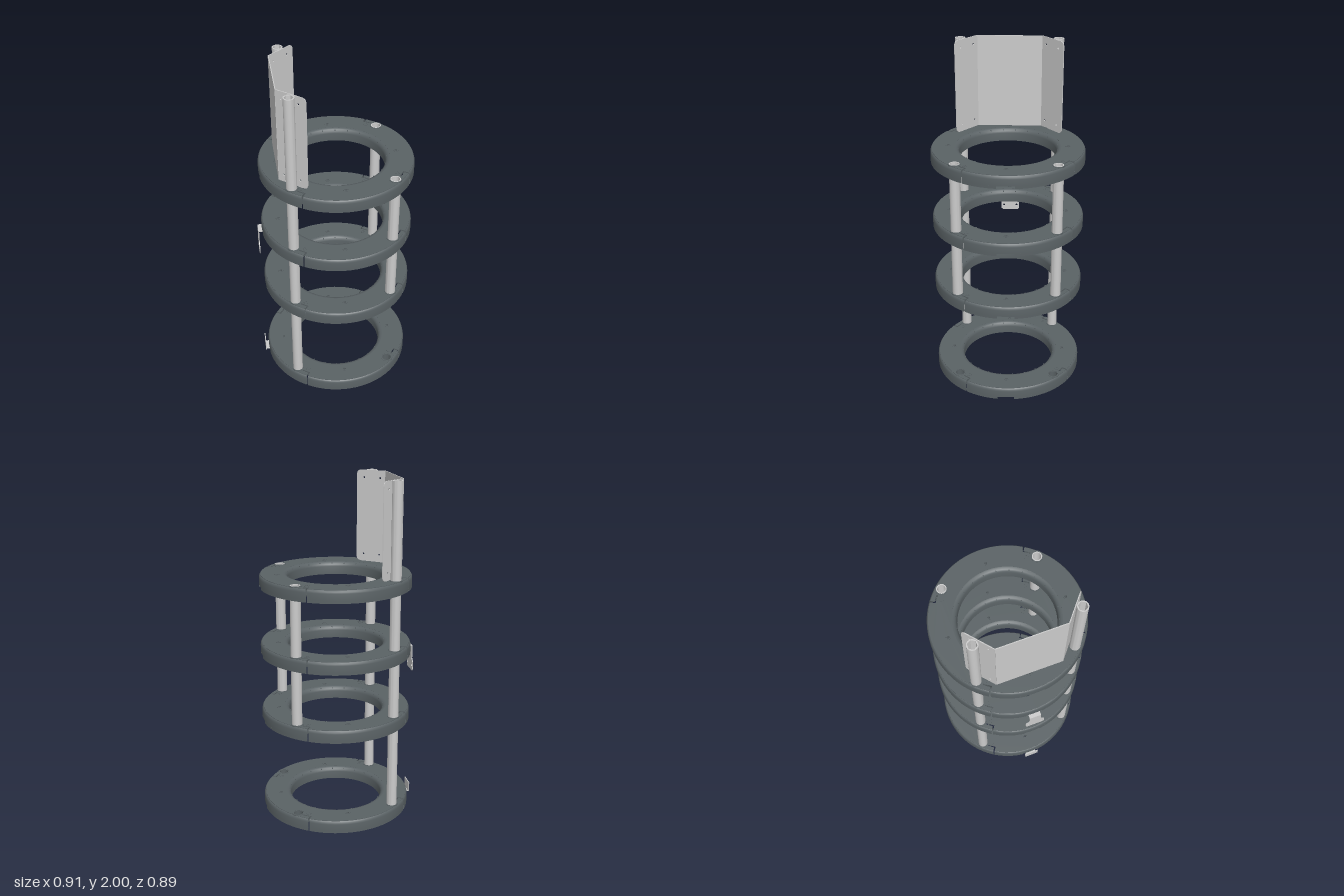
import * as THREE from 'three';
import { toCreasedNormals } from 'three/addons/utils/BufferGeometryUtils.js';

const steel = new THREE.MeshStandardMaterial({ color: 0xcccccc, side: THREE.DoubleSide });
const plastic = new THREE.MeshStandardMaterial({ color: 0x5a6265, side: THREE.DoubleSide });
const CX = 0.0085;        // ring centre in x
const POST_R = 0.401;     // radius of the post circle
const rad = THREE.MathUtils.degToRad;
const polar = (r, deg) => new THREE.Vector2(r * Math.cos(rad(deg)), r * Math.sin(rad(deg)));
const quarters = [0, 90, 180, 270];

function add(parent, name, geometry, material) {
  const mesh = new THREE.Mesh(geometry, material);
  mesh.name = name;
  parent.add(mesh);
  return mesh;
}

// Points along an arc, in degrees
function arc(r, from, to, step = 5) {
  const n = Math.max(1, Math.round(Math.abs(to - from) / step));
  return Array.from({ length: n + 1 }, (_, i) => polar(r, from + (to - from) * i / n));
}

function ngon(r, sides, c = new THREE.Vector2()) {
  return Array.from({ length: sides }, (_, i) => polar(r, 360 * i / sides).add(c));
}

// Upright prism from a plan outline, standing on y
function prism(outline, holes, y, height) {
  const shape = new THREE.Shape(outline);
  holes.forEach(h => shape.holes.push(new THREE.Path(h)));
  const g = new THREE.ExtrudeGeometry(shape, { depth: height, bevelEnabled: false });
  return toCreasedNormals(g.rotateX(-Math.PI / 2).translate(0, y, 0), 0.6);
}

// Revolved wall between two plan angles
function sweep(profile, from, to) {
  const pts = profile.map(p => new THREE.Vector2(...p));
  const n = Math.max(2, Math.round((to - from) / 5));
  return toCreasedNormals(new THREE.LatheGeometry(pts, n, rad(from + 90), rad(to - from)), 0.6);
}

const OUTER = [[0.435, 0.015], [0.443, 0.015], [0.443, 0.055], [0.441, 0.064], [0.437, 0.071],
  [0.43, 0.075], [0.43, 0.067], [0.435, 0.058], [0.435, 0.015]];
const SKIRT = [[0.435, 0], [0.443, 0], [0.443, 0.015], [0.435, 0.015], [0.435, 0]];
const INNER = [[0.286, 0], [0.278, 0], [0.278, 0.048], [0.281, 0.06], [0.288, 0.069], [0.297, 0.0735],
  [0.306, 0.075], [0.306, 0.067], [0.292, 0.062], [0.286, 0.05], [0.286, 0]];
const MIDDLE = [[0.358, 0.02], [0.363, 0.02], [0.363, 0.07], [0.358, 0.07], [0.358, 0.02]];

function buildRing(y) {
  const ring = new THREE.Group();
  ring.name = 'ring';
  ring.position.set(CX, y, 0);

  // Top plate with hooked slots, post holes and bolt holes
  const outline = [], holes = [];
  for (const q of quarters) {
    const s = 57.3 + q, w = 0.6;
    outline.push(...arc(0.434, s - 90 + w, s - w), ...arc(0.411, s - w, s - 6.4, 3),
      ...arc(0.403, s - 6.4, s + w, 3));
    holes.push(ngon(0.026, 24, polar(POST_R, 45 + q)), ngon(0.008, 12, polar(0.343, q)));
  }
  holes.push(arc(0.304, 0, 355));
  add(ring, 'topPlate', prism(outline, holes, 0.066, 0.009), plastic);

  // Rims
  add(ring, 'innerRim', sweep(INNER, 0, 360), plastic);
  add(ring, 'middleWall', sweep(MIDDLE, 0, 360), plastic);
  for (const q of quarters) {
    const from = 57.9 + q, to = 146.7 + q;
    add(ring, 'outerRim', sweep(OUTER, from, to), plastic);
    // the lower edge leaves a notch at each side of the ring
    const side = q === 0 ? 180 : q === 180 ? 360 : null;
    if (side !== null) {
      const cuts = [[from, Math.min(to, side - 6.5)], [side + 6.5, to]];
      cuts.filter(([a, b]) => b > a).forEach(([a, b]) => add(ring, 'outerSkirt', sweep(SKIRT, a, b), plastic));
    } else {
      const mid = q === 90 ? 180 : 360;
      add(ring, 'outerSkirt', sweep(SKIRT, from, mid - 6.5), plastic);
      add(ring, 'outerSkirt', sweep(SKIRT, mid + 6.5, to), plastic);
    }
  }

  // Stiffening ribs underneath
  for (let i = 0; i < 24; i++) {
    const a = rad(7.5 + i * 15);
    const rib = add(ring, 'rib', new THREE.BoxGeometry(0.154, 0.054, 0.005), plastic);
    rib.position.set(0.36 * Math.cos(a), 0.042, -0.36 * Math.sin(a));
    rib.rotation.y = a;
  }

  // Post sockets, bolt bosses and clip bolts
  for (const q of quarters) {
    const post = polar(POST_R, 45 + q), bolt = polar(0.343, q), clip = polar(0.38, 53.8 + q);
    add(ring, 'postSocket', prism(ngon(0.036, 24, post), [ngon(0.0295, 24, post)], 0.005, 0.072), plastic);
    add(ring, 'boltBoss', prism(ngon(0.016, 6, bolt), [ngon(0.008, 12, bolt)], 0.03, 0.047), plastic);
    add(ring, 'clipBolt', prism(ngon(0.015, 6, clip), [ngon(0.008, 6, clip)], 0.03, 0.047), plastic);
  }
  return ring;
}

// Thin sheet in the XY plane with round holes
function sheet(shape, holes, r, thickness) {
  holes.forEach(([x, y]) => shape.holes.push(new THREE.Path(ngon(r, 12, new THREE.Vector2(x, y)))));
  return new THREE.ExtrudeGeometry(shape, { depth: thickness, bevelEnabled: false, curveSegments: 6 })
    .translate(0, 0, -thickness / 2);
}

function buildPanel() {
  const panel = new THREE.Group();
  panel.name = 'backPanel';
  const h = 0.55, w = 0.187, r = 0.03;
  add(panel, 'panelCentre', new THREE.BoxGeometry(0.005, h, 0.38), steel).position.set(-0.333, 1.45 + h / 2, 0);
  for (const s of [-1, 1]) {
    const shape = new THREE.Shape();
    shape.moveTo(0, 0);
    shape.lineTo(w - r, 0);
    shape.quadraticCurveTo(w, 0, w, r);
    shape.lineTo(w, h - r);
    shape.quadraticCurveTo(w, h, w - r, h);
    shape.lineTo(0, h);
    const holes = [[0.035, 0.045], [0.14, 0.045], [0.035, h - 0.045], [0.14, h - 0.045]];
    const wing = add(panel, 'panelWing', sheet(shape, holes, 0.006, 0.005), steel);
    wing.position.set(-0.333, 1.45, 0.19 * s);
    wing.rotation.y = -Math.atan2(0.12 * s, 0.143);
  }
  return panel;
}

function buildHangingBracket() {
  const bracket = new THREE.Group();
  bracket.name = 'hangingBracket';
  const half = [[0.035, 0.985], [0.035, 0.905], [0.057, 0.885], [0.057, 0.84], [0.047, 0.83]];
  const pts = [...half, ...half.slice().reverse().map(([x, y]) => [-x, y])];
  const shape = new THREE.Shape(pts.map(p => new THREE.Vector2(...p)));
  const plate = add(bracket, 'bracketPlate', sheet(shape, [[0.04, 0.862], [-0.04, 0.862]], 0.007, 0.005), steel);
  plate.rotation.y = Math.PI / 2;
  plate.position.x = -0.455;
  add(bracket, 'bracketFlange', new THREE.BoxGeometry(0.1, 0.005, 0.07), steel).position.set(-0.4075, 0.983, 0);
  return bracket;
}

function buildFootBracket() {
  const bracket = new THREE.Group();
  bracket.name = 'footBracket';
  add(bracket, 'bracketPlate', new THREE.BoxGeometry(0.005, 0.06, 0.09), steel).position.set(-0.455, 0.048, 0);
  add(bracket, 'bracketFlange', new THREE.BoxGeometry(0.1, 0.005, 0.07), steel).position.set(-0.4075, 0.0165, 0);
  return bracket;
}

export function createModel() {
  const model = new THREE.Group();
  model.name = 'ringRack';
  for (const y of [0, 0.565, 0.97, 1.375]) model.add(buildRing(y));

  // Tall posts carry the panel; short posts join the upper three rings
  for (const q of quarters) {
    const tall = q === 90 || q === 180;
    const c = polar(POST_R, 45 + q);
    const bore = tall ? ngon(0.0255, 6, c) : ngon(0.0235, 24, c);
    const [y0, y1] = tall ? [0.005, 2] : [0.57, 1.452];
    const post = add(model, tall ? 'tallPost' : 'shortPost', prism(ngon(0.03, 24, c), [bore], y0, y1 - y0), steel);
    post.position.x = CX;
  }

  model.add(buildPanel(), buildHangingBracket(), buildFootBracket());
  return model;
}
